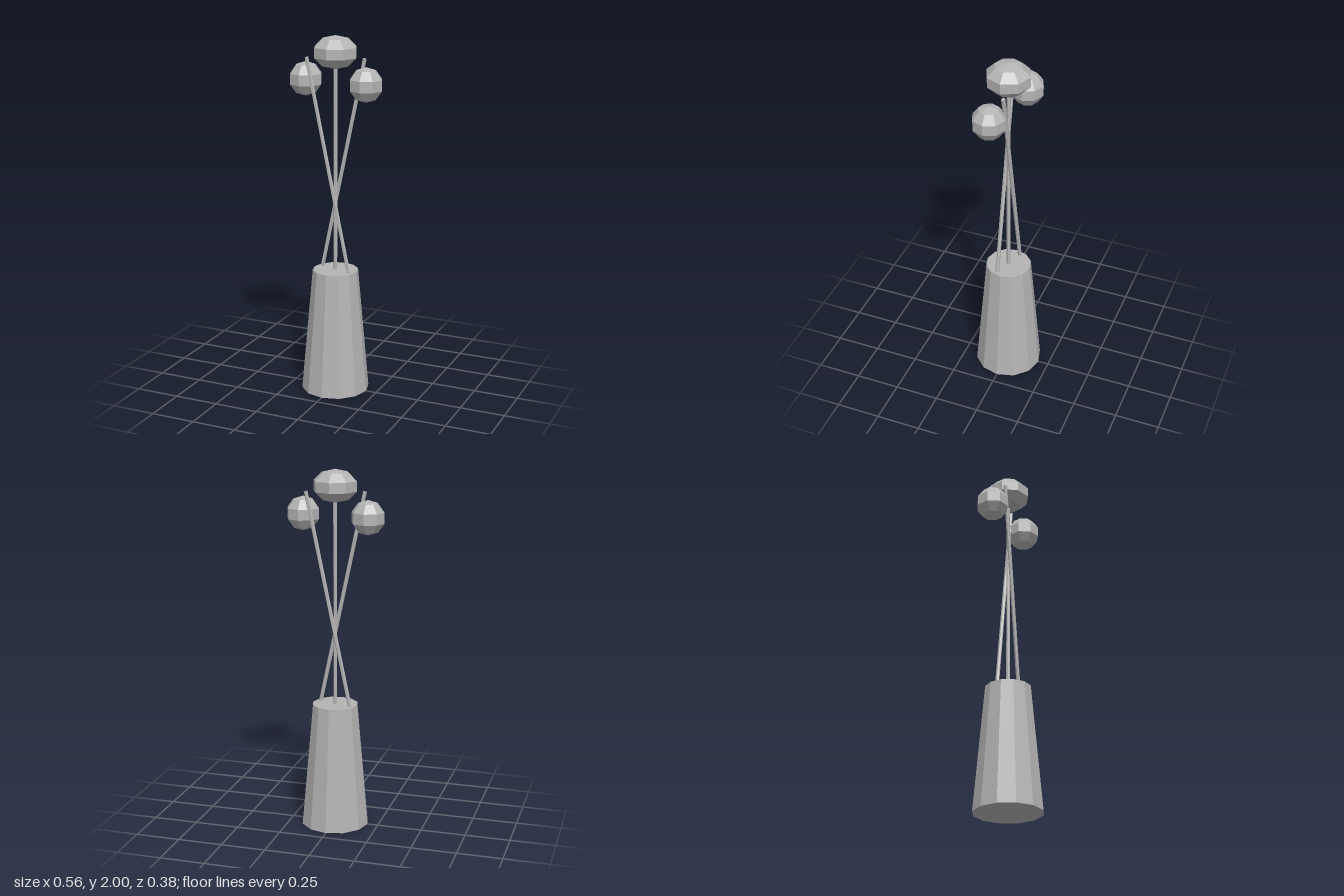
import * as THREE from 'three';

export function createModel() {
  const model = new THREE.Group();
  model.name = 'vaseWithFlowers';
  const grey = new THREE.MeshStandardMaterial({ color: 0xb4b4b4, flatShading: true });
  grey.name = 'grey';

  function add(name, geometry, x, y, z) {
    const mesh = new THREE.Mesh(geometry, grey);
    mesh.name = name;
    mesh.position.set(x, y, z);
    model.add(mesh);
    return mesh;
  }

  // Tapered, closed vase
  add('vase', new THREE.CylinderGeometry(0.127, 0.19, 0.7, 12), 0, 0.35, 0);

  // Upright stem and its wide, flattened bloom
  const stem = (length) => new THREE.CylinderGeometry(0.011, 0.011, length, 6, 1, false, Math.PI / 6);
  add('centreStem', stem(1.4), 0, 1.15, 0);
  add('centreBloom', new THREE.SphereGeometry(0.126, 8, 5), 0, 1.91, 0).scale.y = 0.715;

  // Two crossing stems, each in its own plane, and the round side blooms
  for (const side of [-1, 1]) {
    const name = side > 0 ? 'left' : 'right';
    const from = new THREE.Vector2(-0.12 * side, 0.57);
    const to = new THREE.Vector2(0.155 * side, 1.88);
    const mid = from.clone().add(to).multiplyScalar(0.5);
    const slanted = add(name + 'Stem', stem(from.distanceTo(to)), mid.x, mid.y, -0.032 * side);
    slanted.rotation.z = -Math.atan2(to.x - from.x, to.y - from.y);
    add(name + 'Bloom', new THREE.SphereGeometry(0.0945, 8, 5), 0.19 * side, 1.752, 0.032 * side);
  }
  return model;
}
